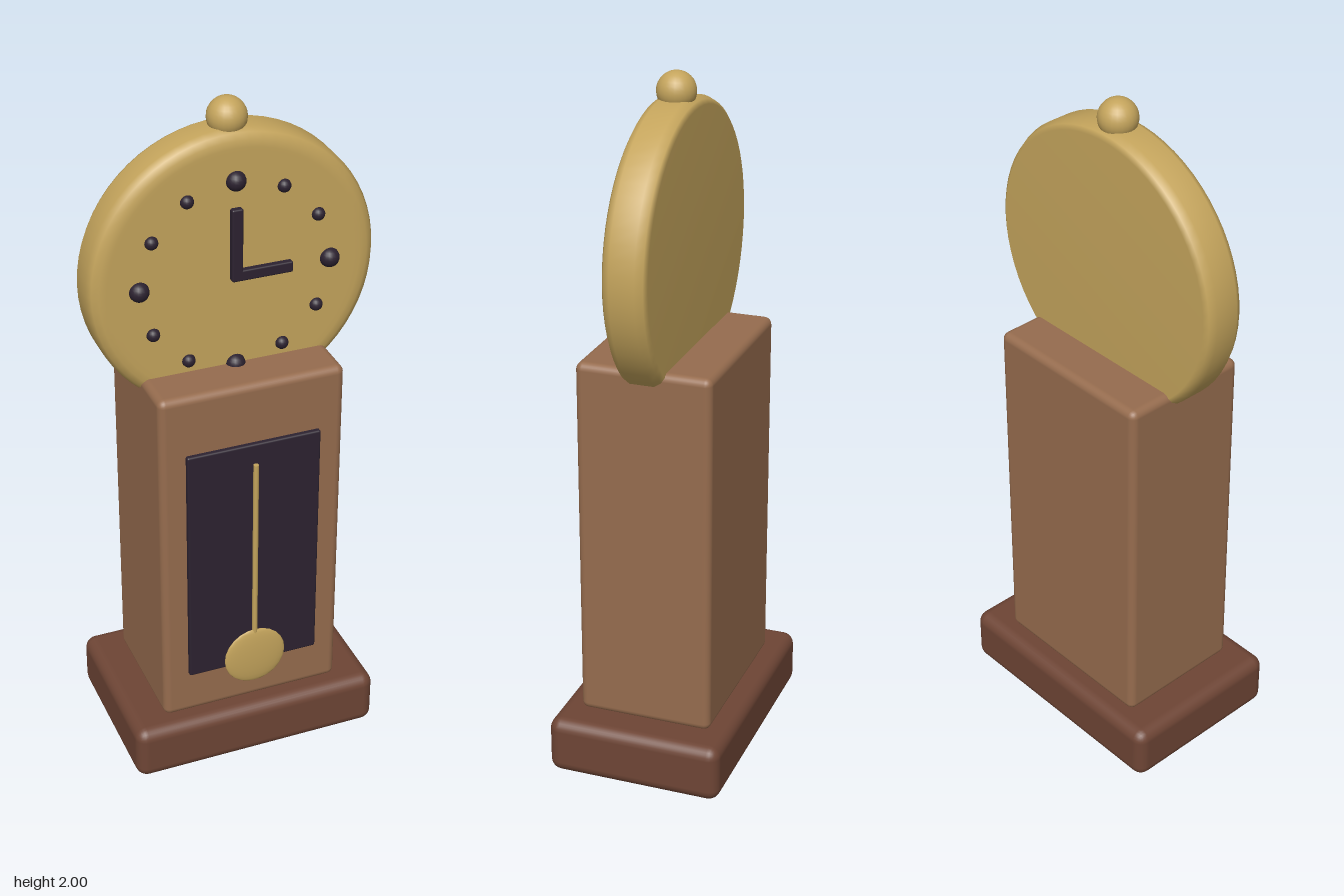
import * as THREE from 'three';
import { RoundedBoxGeometry } from 'three/addons/geometries/RoundedBoxGeometry.js';

const material = (name, color) => {
  const m = new THREE.MeshStandardMaterial({ color });
  m.name = name;
  return m;
};

export function createModel() {
  const clock = new THREE.Group();
  clock.name = 'pendulumClock';
  const wood = material('wood', 0x966c4e);
  const darkWood = material('darkWood', 0x6e4535);
  const brass = material('brass', 0xc4a45c);
  const ebony = material('ebony', 0x2c2230);

  const add = (name, geometry, mat, x, y, z) => {
    const mesh = new THREE.Mesh(geometry, mat);
    mesh.name = name;
    mesh.position.set(x, y, z);
    clock.add(mesh);
    return mesh;
  };
  const block = (w, h, d, r) => new RoundedBoxGeometry(w, h, d, 3, r);

  // Plinth, case and dark front panel
  add('plinth', block(0.756, 0.17, 0.518, 0.035), darkWood, 0, 0.085, 0);
  add('case', block(0.544, 1.08, 0.394, 0.022), wood, 0, 0.703, 0);
  add('frontPanel', block(0.396, 0.755, 0.03, 0.006), ebony, 0, 0.683, 0.196);

  // Pendulum
  add('pendulumRod', new THREE.CylinderGeometry(0.008, 0.008, 0.62, 10), brass, 0, 0.69, 0.22);
  add('pendulumBob', new THREE.SphereGeometry(0.094, 32, 12), brass, 0, 0.337, 0.222).scale.z = 0.13;

  // Round head with softened rim, turned to face forward
  const faceY = 1.515;
  const profile = [
    [0, -0.065], [0.39, -0.065], [0.403, -0.056], [0.413, -0.035],
    [0.413, 0.035], [0.403, 0.054], [0.385, 0.064], [0.365, 0.065], [0.35, 0.065], [0, 0.065],
  ].map(([r, h]) => new THREE.Vector2(r, h));
  add('clockHead', new THREE.LatheGeometry(profile, 64), brass, 0, faceY, 0).rotation.x = Math.PI / 2;
  add('finial', new THREE.SphereGeometry(0.055, 24, 16), brass, 0, 1.945, 0);

  // Hour markers, larger at the quarters
  for (let i = 0; i < 12; i++) {
    const a = (i * Math.PI) / 6;
    const r = i % 3 === 0 ? 0.028 : 0.019;
    add('hourMarker', new THREE.SphereGeometry(r, 16, 12), ebony,
      Math.sin(a) * 0.274, faceY + Math.cos(a) * 0.274, 0.065);
  }

  // Hands
  add('minuteHand', block(0.032, 0.212, 0.022, 0.005), ebony, 0, 1.606, 0.071);
  add('hourHand', block(0.176, 0.032, 0.022, 0.005), ebony, 0.073, faceY, 0.071);

  return clock;
}
